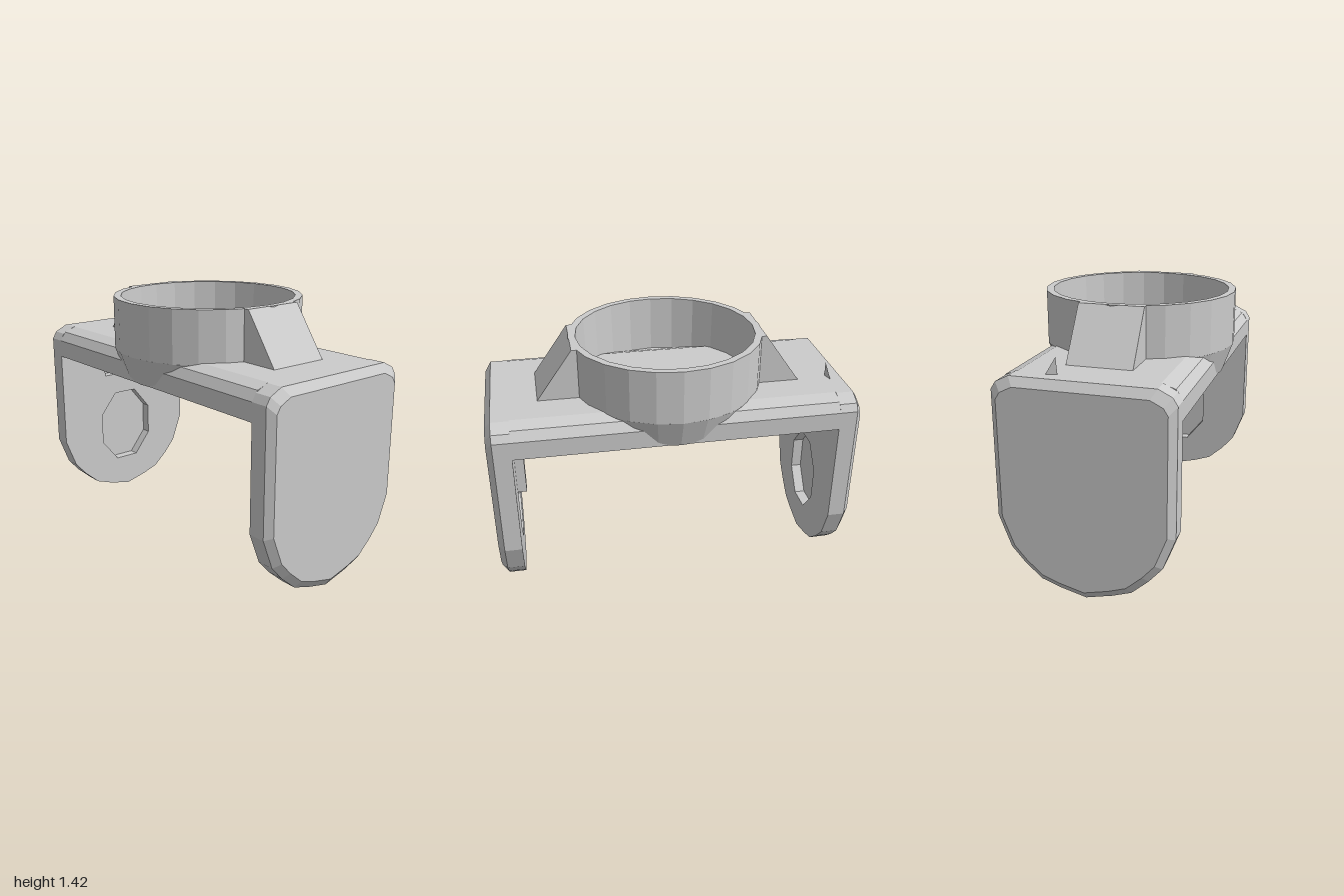
import * as THREE from 'three';

const grey = new THREE.MeshStandardMaterial({ color: 0xcccccc, flatShading: true });
const thin = new THREE.MeshStandardMaterial({ color: 0xcccccc, flatShading: true, side: THREE.DoubleSide });

function add(parent, name, geometry, material = grey) {
  const mesh = new THREE.Mesh(geometry, material);
  mesh.name = name;
  parent.add(mesh);
  return mesh;
}

const v2 = ([x, y]) => new THREE.Vector2(x, y);

// Closed outline from its right half, mirrored across x = 0
function mirrored(half) {
  const left = half.filter(([x]) => x > 0).map(([x, y]) => [-x, y]).reverse();
  return [...half, ...left].map(v2);
}

// Shape drawn in (z, y), extruded along +x from x = x0
function extrudeX(shape, x0, depth, taper) {
  const g = new THREE.ExtrudeGeometry(shape, { depth, bevelEnabled: false });
  if (taper) {
    const p = g.attributes.position;
    for (let i = 0; i < p.count; i++) {
      if (p.getZ(i) > depth / 2) p.setXY(i, p.getX(i) * 0.92, 0.57 + (p.getY(i) - 0.57) * 0.92);
    }
  }
  return g.rotateY(Math.PI / 2).translate(x0, 0, 0);
}

function createArm() {
  const arm = new THREE.Group();
  const outline = mirrored([[0, 0], [0.14, 0.035], [0.24, 0.07], [0.33, 0.15], [0.4, 0.23],
    [0.465, 0.4], [0.465, 1.07], [0.44, 1.11], [0.37, 1.145]]);

  // Inner layer with the disc pocket and the slot
  const inner = new THREE.Shape(outline);
  const disc = [];
  for (let i = 0; i < 8; i++) {
    const a = -(i + 0.5) * Math.PI / 4;
    disc.push(v2([0.2 * Math.cos(a), 0.43 + 0.25 * Math.sin(a)]));
  }
  inner.holes.push(new THREE.Path(disc));
  inner.holes.push(new THREE.Path([[-0.15, 0.79], [-0.15, 0.92], [0.15, 0.92], [0.15, 0.79]].map(v2)));
  add(arm, 'armInnerLayer', extrudeX(inner, 0.872, 0.06));

  // Solid outer layer and its chamfered face
  add(arm, 'armOuterLayer', extrudeX(new THREE.Shape(outline), 0.932, 0.035));
  add(arm, 'armFace', extrudeX(new THREE.Shape(outline), 0.967, 0.033, true));
  return arm;
}

export function createModel() {
  const model = new THREE.Group();
  model.name = 'bracket';

  // Channel-shaped bridge with chamfered top edges
  const profile = mirrored([[0.33, 1.08], [0.33, 1.0], [0.38, 1.0], [0.38, 0.97], [0.465, 0.97],
    [0.465, 1.07], [0.43, 1.12], [0.36, 1.145]]);
  add(model, 'bridge', extrudeX(new THREE.Shape(profile), -0.872, 1.744));

  // Collar ring
  const ring = [[0.49, 1.09], [0.53, 1.13], [0.53, 1.42], [0.49, 1.42], [0.48, 1.09]].map(v2);
  add(model, 'collar', new THREE.LatheGeometry(ring, 24));
  add(model, 'collarFloor', new THREE.CylinderGeometry(0.49, 0.49, 0.015, 24).translate(0, 1.1, 0));

  for (const turn of [0, Math.PI]) {
    const side = new THREE.Group();
    side.name = turn ? 'rightSide' : 'leftSide';
    side.rotation.y = turn;
    model.add(side);

    const arm = createArm();
    arm.name = 'arm';
    side.add(arm);

    // Sloping brace between collar and bridge
    const wedge = new THREE.Shape([[0.49, 1.12], [0.72, 1.12], [0.72, 1.145], [0.525, 1.42], [0.49, 1.42]].map(v2));
    add(side, 'brace', new THREE.ExtrudeGeometry(wedge, { depth: 0.35, bevelEnabled: false }).translate(0, 0, -0.175));

    // Lip at the end of the channel
    add(side, 'endLip', new THREE.BoxGeometry(0.06, 0.11, 0.7).translate(0.845, 1.03, 0));

    // Tapered skirt where the collar overhangs the bridge edge
    const skirt = new THREE.CylinderGeometry(0.53, 0.472, 0.16, 6, 1, true, -0.75, 1.5).translate(0, 1.05, 0);
    add(side, 'collarSkirt', skirt, thin);
  }

  // Stop rib on the inside of the left arm
  add(model, 'stopRib', new THREE.BoxGeometry(0.055, 0.34, 0.1).translate(0.848, 0.8, -0.2));

  // Tiny fin on the right end of the bridge
  const fin = new THREE.BufferGeometry();
  fin.setAttribute('position', new THREE.Float32BufferAttribute(
    [-0.9, 1.14, -0.21, -0.885, 1.14, -0.15, -0.88, 1.23, -0.16], 3));
  fin.computeVertexNormals();
  add(model, 'fin', fin, thin);

  return model;
}
